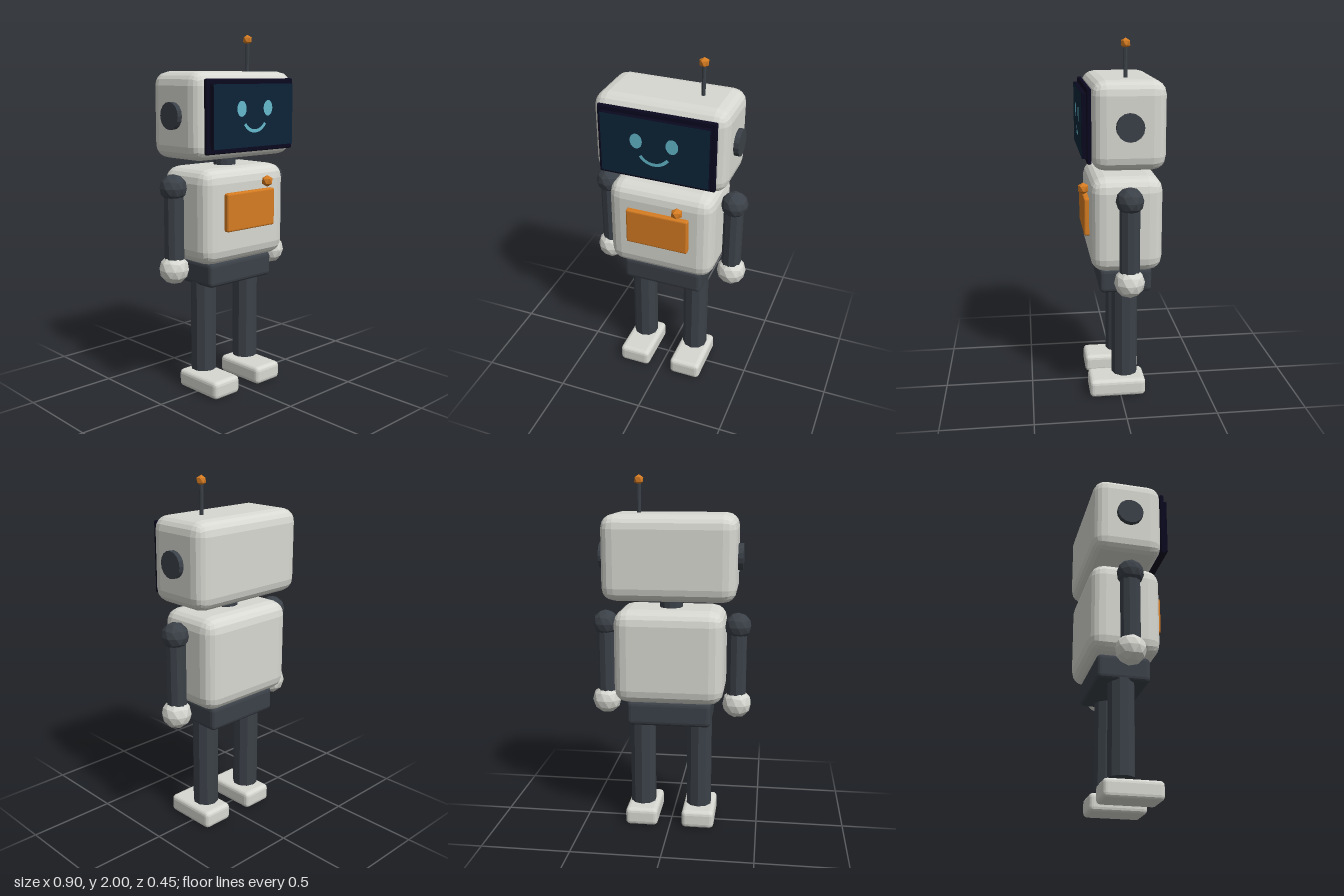
import * as THREE from 'three';
import { RoundedBoxGeometry } from 'three/addons/geometries/RoundedBoxGeometry.js';

const Z = -0.028; // depth of the body's central axis

export function createModel() {
  const robot = new THREE.Group();
  robot.name = 'robot';

  const material = (name, color, flatShading = true) => {
    const m = new THREE.MeshStandardMaterial({ color, flatShading });
    m.name = name;
    return m;
  };
  const shell = material('shellWhite', 0xd8d8d2);
  const dark = material('darkGrey', 0x3b4148);
  const orange = material('orange', 0xd67c22);
  const bezel = material('bezelBlack', 0x0a081f);
  const glass = material('screenNavy', 0x0c2438);
  const glow = material('faceCyan', 0x64b8cc);

  const add = (name, geometry, mat, x, y, z = Z, parent = robot) => {
    const mesh = new THREE.Mesh(geometry, mat);
    mesh.name = name;
    mesh.position.set(x, y, z);
    parent.add(mesh);
    return mesh;
  };
  const box = (w, h, d, r) => new RoundedBoxGeometry(w, h, d, 2, r);
  // Icosphere turned so that one vertex points straight up
  const ball = (r, detail) => new THREE.IcosahedronGeometry(r, detail).rotateZ(Math.atan(2 / (1 + Math.sqrt(5))));
  const rod = (r, h, sides) => new THREE.CylinderGeometry(r, r, h, sides);

  // Head, neck, torso and hips
  add('head', box(0.735, 0.466, 0.392, 0.075), shell, 0, 1.564, -0.03);
  add('neck', rod(0.064, 0.14, 12), dark, 0, 1.31);
  add('torso', box(0.61, 0.524, 0.392, 0.08), shell, 0, 1.022, -0.028);
  add('hips', box(0.47, 0.14, 0.29, 0.025), dark, 0, 0.696, -0.027);

  // Screen with face
  const face = new THREE.Group();
  face.name = 'face';
  robot.add(face);
  add('screenFrame', box(0.645, 0.39, 0.024, 0.008), bezel, 0, 1.564, 0.176, face);
  add('screenBody', new THREE.BoxGeometry(0.592, 0.334, 0.03), bezel, 0, 1.564, 0.196, face);
  add('screenGlass', new THREE.PlaneGeometry(0.592, 0.334), glass, 0, 1.564, 0.2125, face);
  for (const s of [-1, 1]) {
    add('eye', new THREE.CircleGeometry(1, 20).scale(0.034, 0.042, 1), glow, s * 0.098, 1.602, 0.2145, face);
  }
  const arc = 1.95;
  add('mouth', new THREE.RingGeometry(0.082, 0.1, 18, 1, -Math.PI / 2 - arc / 2, arc), glow, 0, 1.573, 0.2145, face);

  // Antenna
  add('antennaRod', rod(0.011, 0.19, 8), dark, 0.177, 1.875);
  add('antennaTip', ball(0.028, 0), orange, 0.177, 1.972);

  // Chest panel and button
  add('chestPanel', box(0.358, 0.21, 0.04, 0.01), orange, -0.001, 1.05, 0.176);
  add('chestButton', ball(0.033, 0), orange, 0.118, 1.198, 0.194);

  // Mirrored ears, arms and legs
  for (const s of [-1, 1]) {
    const side = s > 0 ? 'left' : 'right';
    add(side + 'Ear', rod(0.073, 0.06, 16).rotateZ(Math.PI / 2), dark, s * 0.366, 1.566);
    add(side + 'Shoulder', ball(0.075, 1), dark, s * 0.373, 1.183);
    add(side + 'Arm', rod(0.055, 0.44, 10), dark, s * 0.37, 0.96);
    add(side + 'Hand', ball(0.083, 1), shell, s * 0.373, 0.738);
    add(side + 'Leg', rod(0.073, 0.535, 10), dark, s * 0.163, 0.39);
    add(side + 'Foot', box(0.187, 0.102, 0.318, 0.025), shell, s * 0.163, 0.053, 0.018);
  }
  return robot;
}
